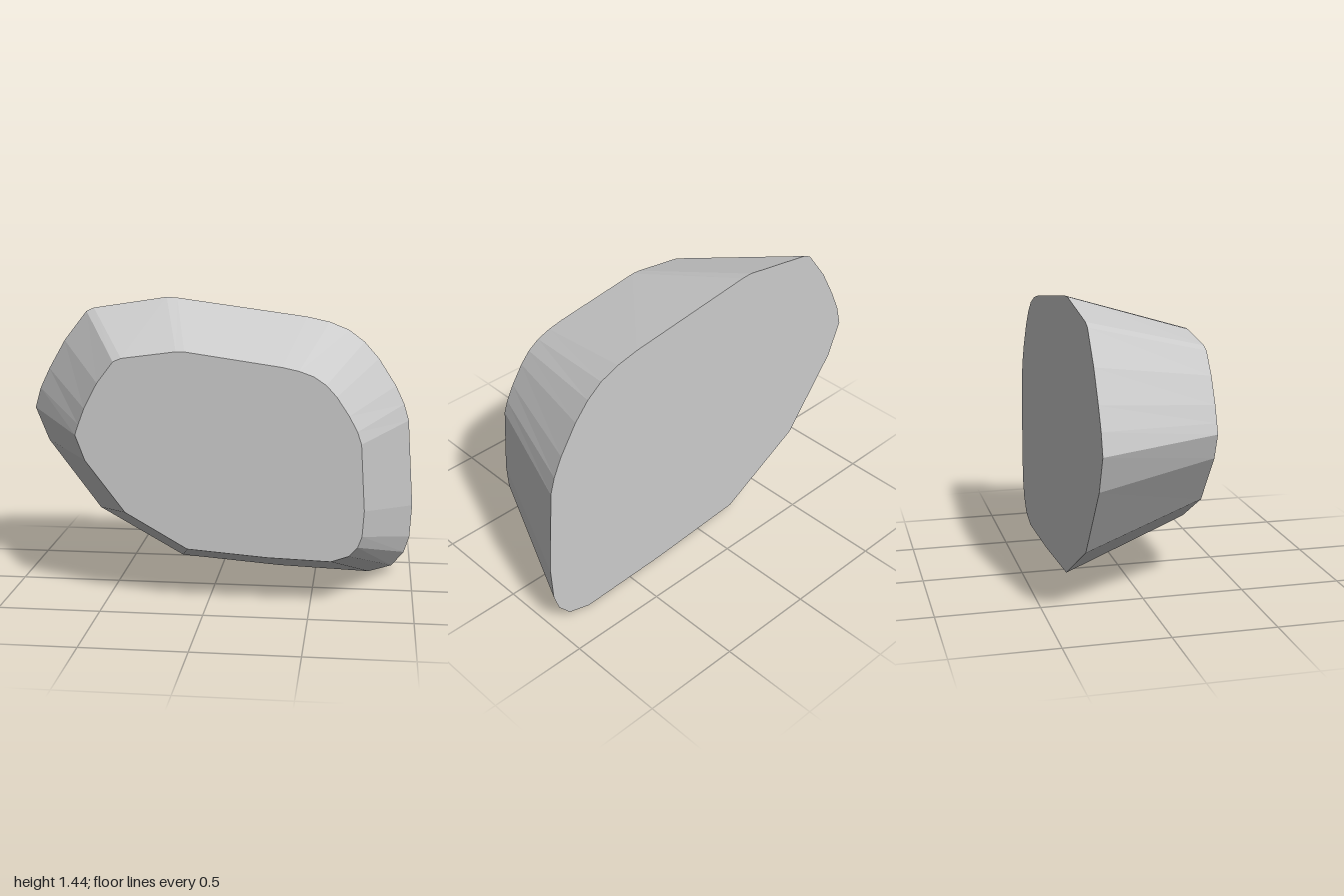
import * as THREE from 'three';

const HALF_DEPTH = 0.315;

// Outlines run counter-clockwise seen from +z, with matching corners.
const backOutline = [
  [-1, 0.85], [-0.93, 0.675], [-0.655, 0.31], [-0.21, 0.06], [0.31, 0.02],
  [0.78, 0.003], [0.9, 0.04], [0.963, 0.115], [0.99, 0.2], [1, 0.37],
  [0.97, 0.82], [0.945, 0.905], [0.9, 1], [0.81, 1.14], [0.735, 1.225],
  [0.655, 1.285], [0.555, 1.325], [0.44, 1.35], [-0.235, 1.44], [-0.29, 1.443],
  [-0.675, 1.383], [-0.715, 1.365], [-0.835, 1.21], [-0.92, 1.06], [-0.97, 0.955],
];
const frontOutline = [
  [-0.647, 0.83], [-0.6, 0.705], [-0.405, 0.45], [-0.1, 0.275], [0.29, 0.245],
  [0.6, 0.235], [0.685, 0.265], [0.727, 0.31], [0.747, 0.365], [0.755, 0.49],
  [0.735, 0.815], [0.715, 0.875], [0.675, 0.95], [0.615, 1.04], [0.565, 1.095],
  [0.505, 1.135], [0.435, 1.16], [0.355, 1.177], [-0.11, 1.243], [-0.15, 1.243],
  [-0.415, 1.207], [-0.455, 1.19], [-0.535, 1.085], [-0.6, 0.96], [-0.63, 0.88],
];

// Sloping faceted wall between the two outlines
function wallGeometry() {
  const positions = [];
  const n = backOutline.length;
  for (let i = 0; i < n; i++) {
    const j = (i + 1) % n;
    const a = [...backOutline[i], -HALF_DEPTH];
    const b = [...backOutline[j], -HALF_DEPTH];
    const c = [...frontOutline[j], HALF_DEPTH];
    const d = [...frontOutline[i], HALF_DEPTH];
    positions.push(...a, ...b, ...c, ...a, ...c, ...d);
  }
  const geometry = new THREE.BufferGeometry();
  geometry.setAttribute('position', new THREE.Float32BufferAttribute(positions, 3));
  geometry.computeVertexNormals();
  return geometry;
}

// Flat cap facing +z, or turned to face -z
function capGeometry(outline, facesBack) {
  const points = outline.map(([x, y]) => new THREE.Vector2(facesBack ? -x : x, y));
  const geometry = new THREE.ShapeGeometry(new THREE.Shape(points));
  if (facesBack) geometry.rotateY(Math.PI);
  return geometry.translate(0, 0, facesBack ? -HALF_DEPTH : HALF_DEPTH);
}

export function createModel() {
  const stone = new THREE.MeshStandardMaterial({ color: 0xcccccc });
  stone.name = 'stoneGrey';

  const model = new THREE.Group();
  model.name = 'taperedStone';
  const add = (name, geometry) => {
    const mesh = new THREE.Mesh(geometry, stone);
    mesh.name = name;
    model.add(mesh);
  };

  add('slopingWall', wallGeometry());
  add('frontFace', capGeometry(frontOutline, false));
  add('backFace', capGeometry(backOutline, true));
  return model;
}
